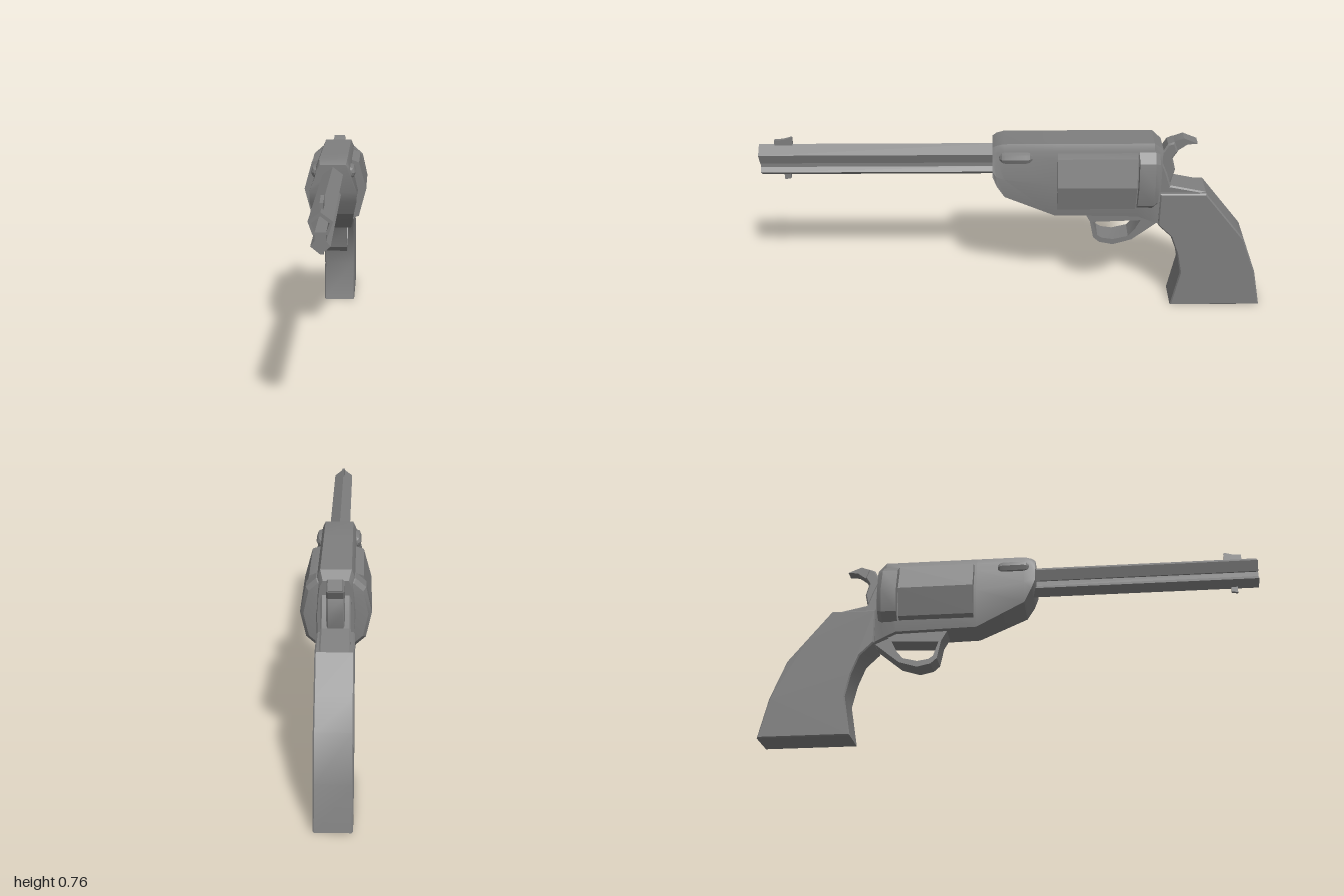
import * as THREE from 'three';
import { toCreasedNormals } from 'three/addons/utils/BufferGeometryUtils.js';

const material = new THREE.MeshStandardMaterial({ color: 0x7e7e7e, side: THREE.DoubleSide });

// Shallow bends shade smoothly, sharper edges stay crisp
function part(group, name, geometry) {
  const mesh = new THREE.Mesh(toCreasedNormals(geometry, 0.5), material);
  mesh.name = name;
  group.add(mesh);
  return mesh;
}

const toShape = (pts) => new THREE.Shape(pts.map(([a, b]) => new THREE.Vector2(a, b)));

// Side outline given as [z, y], extruded symmetrically across x
function sideExtrude(pts, halfWidth, bevel = 0, hole = null) {
  const shape = toShape(pts);
  if (hole) shape.holes.push(toShape(hole));
  const depth = 2 * (halfWidth - bevel);
  const geo = new THREE.ExtrudeGeometry(shape, {
    depth, bevelEnabled: bevel > 0, bevelSize: bevel, bevelThickness: bevel,
    bevelOffset: -bevel, bevelSegments: 1,
  });
  return geo.translate(0, 0, -depth / 2).rotateY(-Math.PI / 2);
}

// Skin over mirrored cross-sections; stations run front to back as [z, [[halfWidth, y], ...top to bottom]]
function loft(stations) {
  const pos = [];
  const idx = [];
  const n = stations[0][1].length * 2;
  for (const [z, half] of stations) {
    for (const [w, y] of half) pos.push(w, y, z);
    for (const [w, y] of [...half].reverse()) pos.push(-w, y, z);
  }
  for (let i = 0; i < stations.length - 1; i++) {
    for (let j = 0; j < n; j++) {
      const k = (j + 1) % n;
      const a = i * n + j, b = i * n + k, c = b + n, d = a + n;
      idx.push(a, b, c, a, c, d);
    }
  }
  const last = (stations.length - 1) * n;
  for (let k = 1; k < n - 1; k++) {
    idx.push(0, k + 1, k);
    idx.push(last, last + k, last + k + 1);
  }
  const geo = new THREE.BufferGeometry();
  geo.setAttribute('position', new THREE.Float32BufferAttribute(pos, 3));
  geo.setIndex(idx);
  return geo;
}

// Closed outline from its +x half, given as [x, y]
const mirrored = (half) => [...half, ...[...half].reverse().filter(([x]) => x > 0).map(([x, y]) => [-x, y])];

function frontExtrude(half, z0, z1, holeHalf = null) {
  const shape = toShape(mirrored(half));
  if (holeHalf) shape.holes.push(toShape(mirrored(holeHalf)));
  return new THREE.ExtrudeGeometry(shape, { depth: z1 - z0, bevelEnabled: false }).translate(0, 0, z0);
}

export function createModel() {
  const model = new THREE.Group();
  model.name = 'revolver';

  // Five-sided barrel with open bore, and the rod housing below it
  part(model, 'barrel', frontExtrude(
    [[0, 0.735], [0.04, 0.705], [0.025, 0.663]], 0.06, 1,
    [[0, 0.722], [0.029, 0.7], [0.018, 0.671]]));
  part(model, 'rodHousing', frontExtrude(
    [[0.018, 0.663], [0.018, 0.643], [0.032, 0.626], [0, 0.6]], 0.06, 1));

  // Sight blade and lower stud
  part(model, 'frontSight', sideExtrude(
    [[0.94, 0.725], [0.94, 0.752], [0.905, 0.755], [0.87, 0.765], [0.87, 0.725]], 0.006));
  part(model, 'rodLatch', sideExtrude([[0.915, 0.61], [0.915, 0.58], [0.89, 0.585], [0.89, 0.61]], 0.006));

  // Frame, narrowing to the front and the rear
  const top = [[0.055, 0.76], [0.066, 0.735], [0.07, 0.7]];
  part(model, 'frame', loft([
    [0.1, [[0.05, 0.742], [0.064, 0.722], [0.07, 0.695], [0.086, 0.655], [0.091, 0.635]]],
    [0.085, [[0.053, 0.752], [0.065, 0.73], [0.07, 0.7], [0.092, 0.635], [0.092, 0.595]]],
    [0.055, [...top, [0.093, 0.625], [0.081, 0.54]]],
    [-0.14, [...top, [0.093, 0.6], [0.066, 0.445]]],
    [-0.47, [...top, [0.093, 0.6], [0.066, 0.438]]],
    [-0.52, [...top, [0.085, 0.6], [0.063, 0.415]]],
    [-0.555, [[0.045, 0.73], [0.055, 0.71], [0.06, 0.68], [0.066, 0.6], [0.058, 0.4]]],
  ]));

  // Faceted cylinder and the recoil shield behind it
  part(model, 'cylinder', loft([-0.15, -0.455].map((z) => [z,
    [[0.06, 0.728], [0.097, 0.715], [0.127, 0.605], [0.097, 0.492], [0.06, 0.48]]])));
  const shield = (s) => [[0.07, 0.73], [0.106, 0.698], [0.127, 0.605], [0.106, 0.512], [0.07, 0.48]]
    .map(([w, y]) => [w * s, 0.605 + (y - 0.605) * s]);
  part(model, 'recoilShield', loft([
    [-0.463, shield(1)], [-0.525, shield(1)], [-0.543, shield(0.9)], [-0.548, shield(0.6)],
  ]));

  // Rounded bosses on both sides of the frame
  for (const side of [1, -1]) {
    const boss = part(model, side > 0 ? 'leftBoss' : 'rightBoss',
      new THREE.CapsuleGeometry(0.026, 0.08, 3, 8).rotateX(Math.PI / 2));
    boss.position.set(side * 0.062, 0.707, 0.01);
  }

  // Strap joining frame and grip
  part(model, 'backStrap', sideExtrude([
    [-0.5, 0.7], [-0.55, 0.69], [-0.575, 0.63], [-0.595, 0.57], [-0.735, 0.54],
    [-0.66, 0.42], [-0.59, 0.38], [-0.5, 0.42],
  ], 0.054, 0.006));

  // Hammer with its curved spur
  part(model, 'hammer', sideExtrude([
    [-0.53, 0.57], [-0.53, 0.7], [-0.56, 0.715], [-0.575, 0.742], [-0.6, 0.752], [-0.615, 0.71],
    [-0.597, 0.68], [-0.61, 0.63], [-0.595, 0.565],
  ], 0.032, 0.006));
  part(model, 'hammerSpur', sideExtrude([
    [-0.58, 0.735], [-0.6, 0.752], [-0.635, 0.765], [-0.69, 0.742], [-0.65, 0.738], [-0.615, 0.712], [-0.59, 0.71],
  ], 0.024));

  // Trigger guard loop
  part(model, 'triggerGuard', sideExtrude([
    [-0.26, 0.445], [-0.285, 0.4], [-0.3, 0.325], [-0.325, 0.302], [-0.38, 0.29], [-0.455, 0.313],
    [-0.5, 0.35], [-0.56, 0.4], [-0.54, 0.445],
  ], 0.043, 0, [
    [-0.295, 0.398], [-0.316, 0.335], [-0.335, 0.322], [-0.38, 0.315], [-0.44, 0.33], [-0.465, 0.36], [-0.487, 0.405],
  ]));

  // Flared grip
  part(model, 'grip', sideExtrude([
    [-0.555, 0.54], [-0.735, 0.54], [-0.83, 0.42], [-0.905, 0.325], [-0.965, 0.165], [-1, 0],
    [-0.63, 0], [-0.66, 0.165], [-0.64, 0.26], [-0.61, 0.34], [-0.555, 0.395],
  ], 0.068, 0.005));

  return model;
}
